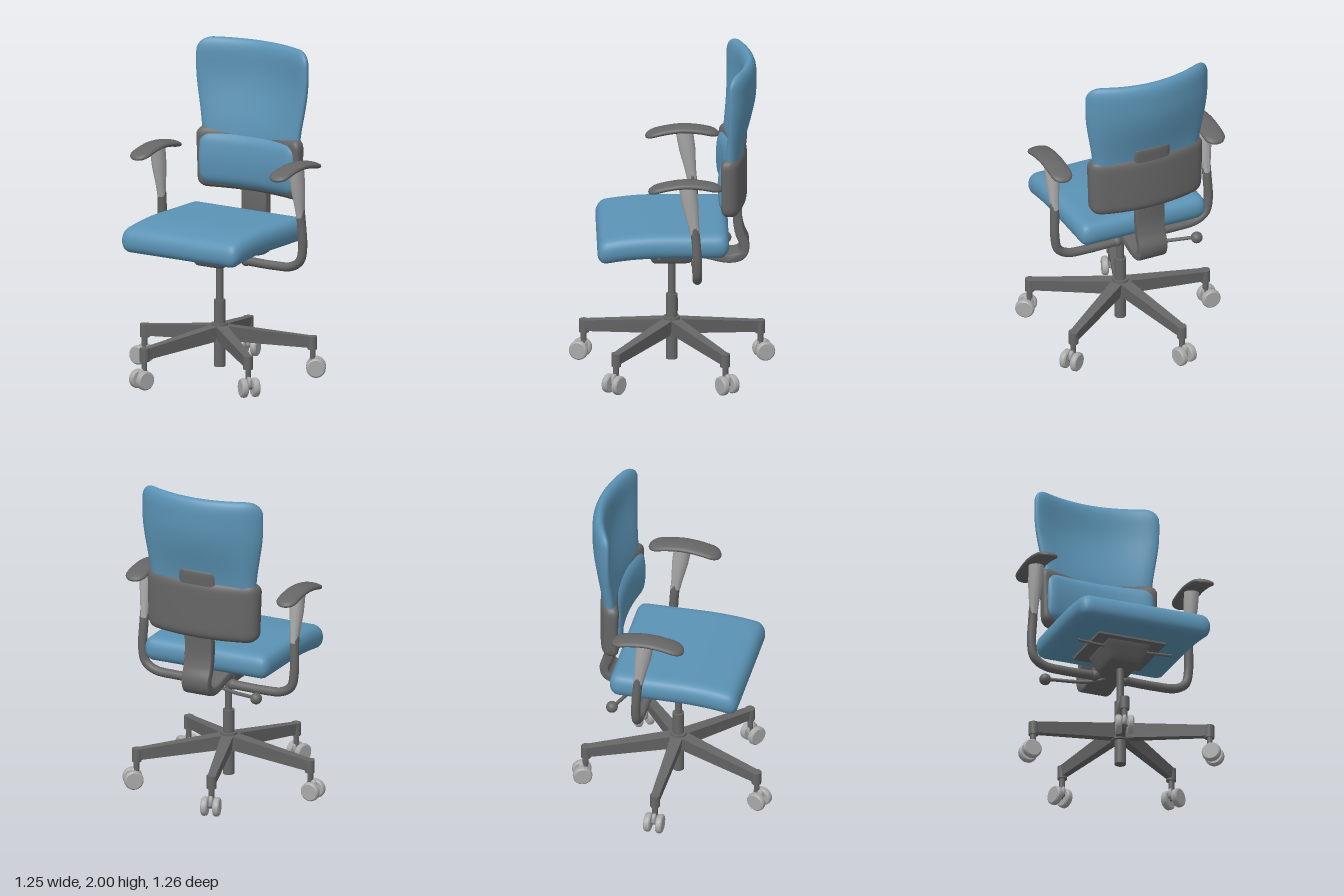
import * as THREE from 'three';
import { mergeVertices, toCreasedNormals } from 'three/addons/utils/BufferGeometryUtils.js';

const mat = (color) => new THREE.MeshStandardMaterial({ color, side: THREE.DoubleSide });

// Rounded block with separate corner radii per axis, then bent by warp(v).
function pad(size, radius, warp, n = [24, 24, 24]) {
  const geo = new THREE.BoxGeometry(1, 1, 1, ...n);
  geo.deleteAttribute('uv');
  geo.deleteAttribute('normal');
  const pos = geo.attributes.position;
  const v = new THREE.Vector3(), c = new THREE.Vector3(), q = new THREE.Vector3();
  const r = new THREE.Vector3(...radius);
  for (let i = 0; i < pos.count; i++) {
    v.fromBufferAttribute(pos, i);
    ['x', 'y', 'z'].forEach((a, k) => {
      const half = size[k] / 2;
      v[a] = half * Math.sin(Math.PI * v[a]); // finer rows near the edges
      c[a] = THREE.MathUtils.clamp(v[a], r[a] - half, half - r[a]);
    });
    q.subVectors(v, c).divide(r).normalize().multiply(r);
    v.addVectors(c, q);
    if (warp) warp(v);
    pos.setXYZ(i, v.x, v.y, v.z);
  }
  const merged = mergeVertices(geo, 1e-5);
  merged.computeVertexNormals();
  return merged;
}

export function createModel() {
  const model = new THREE.Group();
  model.name = 'officeChair';
  const blue = mat(0x5b93b5), dark = mat(0x666666), light = mat(0xaaaaaa);

  const add = (parent, name, geo, material, x = 0, y = 0, z = 0) => {
    const m = new THREE.Mesh(geo, material);
    m.name = name;
    m.position.set(x, y, z);
    parent.add(m);
    return m;
  };
  const cyl = (r1, r2, y0, y1, n = 24) =>
    new THREE.CylinderGeometry(r1, r2, y1 - y0, n).translate(0, (y0 + y1) / 2, 0);
  const tube = (pts, r) => new THREE.TubeGeometry(
    new THREE.CatmullRomCurve3(pts.map((p) => new THREE.Vector3(...p)), false, 'centripetal'), 48, r, 14);

  // Five-legged base with twin-wheel casters
  const base = new THREE.Group();
  base.name = 'base';
  base.position.set(-0.005, 0, -0.012);
  model.add(base);
  add(base, 'hub', cyl(0.05, 0.055, 0.22, 0.335), dark);
  add(base, 'columnSleeve', cyl(0.035, 0.035, 0.065, 0.48), dark);
  add(base, 'gasPiston', cyl(0.022, 0.022, 0.47, 0.76), dark);

  const legGeo = new THREE.BoxGeometry(1, 1, 1).toNonIndexed();
  const lp = legGeo.attributes.position;
  for (let i = 0; i < lp.count; i++) {
    const t = lp.getZ(i) + 0.5, bottom = lp.getY(i) < 0;
    const w = THREE.MathUtils.lerp(0.075, 0.05, t) * (bottom ? 0.75 : 1);
    const y = bottom ? THREE.MathUtils.lerp(0.23, 0.18, t) : THREE.MathUtils.lerp(0.325, 0.25, t);
    lp.setXYZ(i, lp.getX(i) * w, y, 0.02 + 0.54 * t);
  }
  legGeo.computeVertexNormals();
  const wheelGeo = toCreasedNormals(new THREE.LatheGeometry([
    [0, -0.02], [0.05, -0.02], [0.058, -0.013], [0.06, 0], [0.058, 0.013], [0.05, 0.02], [0, 0.02],
  ].map((p) => new THREE.Vector2(...p)), 28), 0.5).rotateZ(Math.PI / 2);
  for (let k = 0; k < 5; k++) {
    const leg = new THREE.Group();
    leg.name = 'leg' + (k + 1);
    leg.rotation.y = k * Math.PI * 2 / 5;
    base.add(leg);
    add(leg, 'legBeam', legGeo, dark);
    add(leg, 'casterSocket', cyl(0.03, 0.03, 0.17, 0.252, 18), dark, 0, 0, 0.562);
    add(leg, 'casterStem', cyl(0.018, 0.018, 0.06, 0.18, 12), dark, 0, 0, 0.565);
    add(leg, 'casterHood', pad([0.03, 0.075, 0.07], [0.012, 0.03, 0.03], null, [6, 8, 8]), light, 0, 0.09, 0.575);
    add(leg, 'casterAxle', new THREE.CylinderGeometry(0.012, 0.012, 0.1, 12).rotateZ(Math.PI / 2), dark, 0, 0.06, 0.585);
    for (const s of [-1, 1]) add(leg, 'wheel', wheelGeo, light, s * 0.037, 0.06, 0.585);
  }

  // Swivelled upper part
  const upper = new THREE.Group();
  upper.name = 'upperPart';
  upper.position.set(-0.01, 0, -0.015);
  upper.rotation.y = -0.911;
  model.add(upper);

  // Seat cushion with a drooping front edge
  add(upper, 'seat', pad([0.85, 0.155, 0.8], [0.06, 0.075, 0.06], (v) => {
    const t = Math.max(0, (v.z - 0.02) / 0.38);
    v.y -= 0.04 * t * t;
    v.x *= 1 + 0.02 * v.z;
  }), blue, 0, 0.91, 0.055);

  // Tilt mechanism under the seat
  add(upper, 'seatPlate', new THREE.BoxGeometry(0.44, 0.03, 0.42), dark, 0, 0.83, 0);
  add(upper, 'mechanism', pad([0.3, 0.13, 0.36], [0.02, 0.02, 0.02], (v) => {
    const s = 0.8 + 2.6 * v.y;
    v.x *= s;
    v.z *= s;
  }, [8, 8, 8]), dark, 0, 0.765, 0);
  add(upper, 'sideLever', tube([[-0.31, 0.81, 0.08], [-0.1, 0.8, 0.08], [0.1, 0.8, 0.08], [0.31, 0.81, 0.08]], 0.009), dark);
  add(upper, 'knobStick', tube([[0, 0.73, -0.22], [-0.1, 0.705, -0.25], [-0.35, 0.715, -0.33]], 0.011), dark);
  add(upper, 'knob', new THREE.SphereGeometry(0.036, 20, 14), dark, -0.35, 0.715, -0.335);

  // Curved spine carrying the backrest
  const spineLine = new THREE.SplineCurve([
    [-0.41, 1.22], [-0.4, 1.0], [-0.415, 0.89], [-0.445, 0.81], [-0.42, 0.745], [-0.33, 0.73], [-0.17, 0.765], [0, 0.775],
  ].map((p) => new THREE.Vector2(...p)));
  const sideA = [], sideB = [];
  for (let i = 0; i <= 40; i++) {
    const p = spineLine.getPoint(i / 40), t = spineLine.getTangent(i / 40);
    sideA.push(new THREE.Vector2(p.x - t.y * 0.02, p.y + t.x * 0.02));
    sideB.unshift(new THREE.Vector2(p.x + t.y * 0.02, p.y - t.x * 0.02));
  }
  const spineGeo = new THREE.ExtrudeGeometry(new THREE.Shape([...sideA, ...sideB]), {
    depth: 0.16, bevelThickness: 0.012, bevelSize: 0.008, bevelSegments: 2,
  }).translate(0, 0, -0.08).rotateY(-Math.PI / 2);
  add(upper, 'spine', toCreasedNormals(spineGeo, 0.6), dark);

  // Backrest: grey shell, lumbar cushion and tall upper cushion
  add(upper, 'backShell', pad([0.75, 0.38, 0.11], [0.06, 0.06, 0.045], (v) => {
    v.x *= 1 + 0.08 * v.y;
    v.z += 0.5 * v.x * v.x + 0.06 * v.y * v.y;
  }), dark, 0, 1.268, -0.405);
  add(upper, 'shellTab', pad([0.24, 0.14, 0.04], [0.03, 0.03, 0.015], (v) => { v.z += 0.5 * v.x * v.x - 0.1 * v.y; },
    [14, 10, 6]), dark, 0, 1.455, -0.435);
  add(upper, 'lumbarCushion', pad([0.7, 0.34, 0.1], [0.07, 0.07, 0.045], (v) => {
    v.z += 0.4 * v.x * v.x - 0.8 * v.y * v.y;
  }), blue, 0, 1.265, -0.36);
  add(upper, 'upperCushion', pad([0.8, 0.7, 0.085], [0.09, 0.09, 0.042], (v) => {
    const t = THREE.MathUtils.clamp((v.y + 0.35) / 0.7, 0, 1);
    const s = THREE.MathUtils.smoothstep(t, 0.1, 0.75);
    v.x *= 0.88 + 0.14 * s;
    v.z += (0.35 + 0.35 * s) * v.x * v.x - 0.085 * s;
  }), blue, 0, 1.65, -0.39);

  // Armrests, mirrored
  for (const s of [1, -1]) {
    const arm = new THREE.Group();
    arm.name = s > 0 ? 'leftArmrest' : 'rightArmrest';
    upper.add(arm);
    add(arm, 'armPad', pad([0.135, 0.045, 0.45], [0.066, 0.02, 0.066], (v) => {
      v.y -= 0.7 * v.z * v.z + (v.z > 0 ? 0.05 * v.z : 0);
    }, [16, 8, 28]), dark, s * 0.513, 1.36, -0.075);
    const post = new THREE.LatheGeometry([
      [0, 0], [0.03, 0], [0.034, 0.06], [0.05, 0.2], [0.053, 0.31], [0, 0.31],
    ].map((p) => new THREE.Vector2(...p)), 24);
    const sleeve = add(arm, 'armSleeve', toCreasedNormals(post, 0.6), light, s * 0.51, 1.035, -0.135);
    sleeve.rotation.x = 0.15;
    sleeve.scale.x = 0.85;
    add(arm, 'armTube', tube([
      [s * 0.51, 1.1, -0.127], [s * 0.512, 1.0, -0.14], [s * 0.515, 0.84, -0.15], [s * 0.495, 0.755, -0.15],
      [s * 0.43, 0.712, -0.15], [s * 0.3, 0.702, -0.15], [s * 0.1, 0.705, -0.15],
    ], 0.028), dark);
    add(arm, 'armTubeEnd', new THREE.SphereGeometry(0.033, 18, 12), dark, s * 0.1, 0.705, -0.15);
  }
  return model;
}
